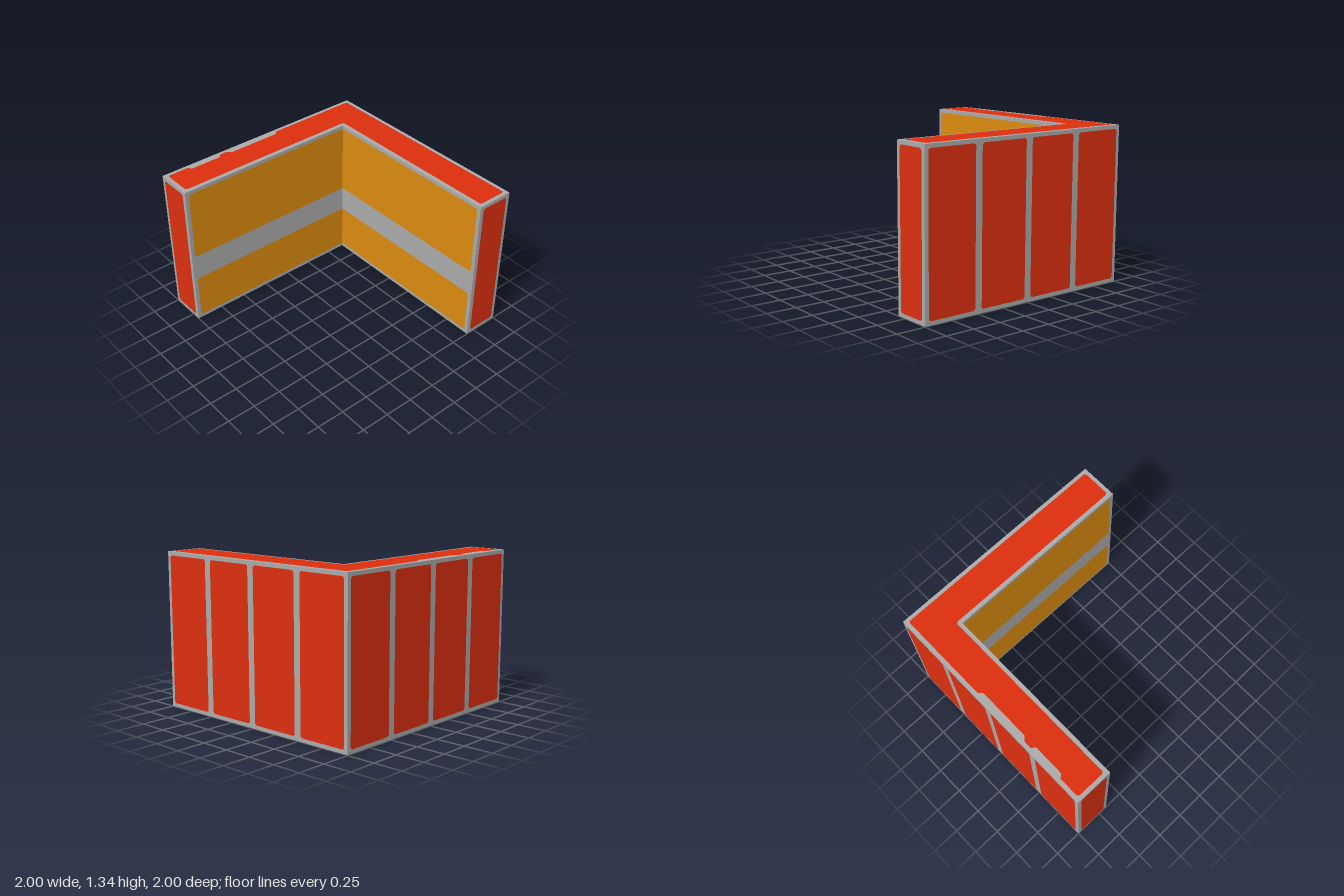
import * as THREE from 'three';

const HEIGHT = 1.333, INNER = -0.667, LIFT = 0.002, CUT = 0.015;

const grey = new THREE.MeshStandardMaterial({ color: 0xaaaaaa });
grey.name = 'grey frame';
const red = new THREE.MeshStandardMaterial({ color: 0xdc2f0f });
red.name = 'red panel';
const orange = new THREE.MeshStandardMaterial({ color: 0xdc8b10 });
orange.name = 'orange panel';

// Polygon whose corners are clipped, except those flagged true as [x, y, true]
function clippedShape(corners) {
  const points = [];
  corners.forEach(([x, y, square], i) => {
    const p = new THREE.Vector2(x, y);
    if (square) { points.push(p); return; }
    const n = corners.length;
    for (const [qx, qy] of [corners[(i + n - 1) % n], corners[(i + 1) % n]]) {
      const dir = new THREE.Vector2(qx, qy).sub(p).normalize();
      points.push(p.clone().addScaledVector(dir, CUT));
    }
  });
  return new THREE.Shape(points);
}

function rect(x0, x1, y0, y1, squareLeft = false, squareRight = false) {
  return [[x0, y0, squareLeft], [x1, y0, squareRight], [x1, y1, squareRight], [x0, y1, squareLeft]];
}

// L-shaped outline in (x, z)
const outline = [[-1, -1], [1, -1], [1, INNER], [INNER, INNER], [INNER, 1], [-1, 1]];

export function createModel() {
  const model = new THREE.Group();
  model.name = 'cornerWall';

  const add = (name, geometry, material) => {
    const mesh = new THREE.Mesh(geometry, material);
    mesh.name = name;
    model.add(mesh);
  };

  // Flat panel on an upright face: turned about y, at a distance from the axis
  const wallPanel = (name, corners, material, turn, distance) => {
    const geometry = new THREE.ShapeGeometry(clippedShape(corners));
    geometry.translate(0, 0, distance + LIFT).rotateY(turn);
    add(name, geometry, material);
  };

  // Solid grey L-shaped wall
  const lShape = new THREE.Shape(outline.map(([x, z]) => new THREE.Vector2(x, -z)));
  const body = new THREE.ExtrudeGeometry(lShape, { depth: HEIGHT, bevelEnabled: false });
  add('wallBody', body.rotateX(-Math.PI / 2), grey);

  const low = 0.033, high = 1.302, edge = 0.967, inEdge = -0.702;

  // Four red panels on each outer face
  const width = 0.437, gap = 0.062;
  for (const [name, turn] of [['backPanel', Math.PI], ['sidePanel', -Math.PI / 2]]) {
    for (let i = 0; i < 4; i++) {
      const x = -edge + i * (width + gap);
      wallPanel(name + (i + 1), rect(x, x + width, low, high), red, turn, 1);
    }
  }

  // Red panels on the two arm ends
  wallPanel('frontEndPanel', rect(-edge, inEdge, low, high), red, 0, 1);
  wallPanel('sideEndPanel', rect(-inEdge, edge, low, high), red, Math.PI / 2, 1);

  // Orange bands on the inner faces, meeting in the corner
  for (const [name, y0, y1] of [['lowerBand', low, 0.437], ['upperBand', 0.67, high]]) {
    wallPanel(name + 'Back', rect(INNER, edge, y0, y1, true, false), orange, 0, INNER);
    wallPanel(name + 'Side', rect(-edge, -INNER, y0, y1, false, true), orange, Math.PI / 2, INNER);
  }

  // Red top, with two shallow notches along the outer side edge
  const cover = [[-edge, -edge], [edge, -edge], [edge, inEdge], [inEdge, inEdge],
    [inEdge, edge], [-edge, edge]];
  const notches = [[-edge, 0.765], [-0.935, 0.765], [-0.935, 0.465], [-edge, 0.465],
    [-edge, 0.365], [-0.935, 0.365], [-0.935, -0.135], [-edge, -0.135]];
  const top = clippedShape([...cover, ...notches].map(([x, z]) => [x, -z]));
  add('topCover', new THREE.ShapeGeometry(top).rotateX(-Math.PI / 2)
    .translate(0, HEIGHT + LIFT, 0), red);

  // Plain red underside
  add('bottomCover', new THREE.ShapeGeometry(clippedShape(cover)).rotateX(Math.PI / 2)
    .translate(0, -LIFT, 0), red);

  return model;
}
